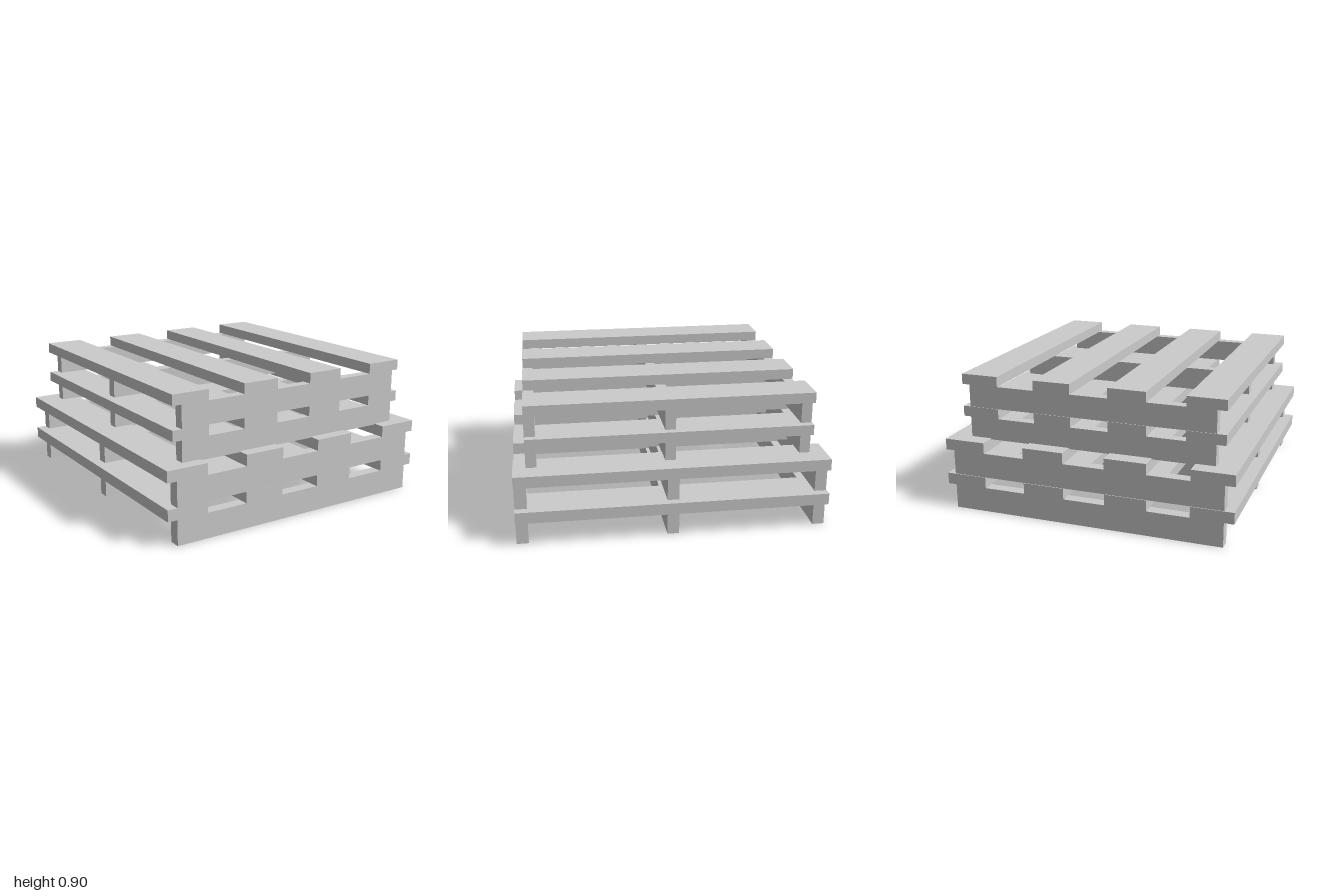
import * as THREE from 'three';

const material = new THREE.MeshStandardMaterial({ color: 0xcccccc, flatShading: true, side: THREE.DoubleSide });

// Board given by its min/max on each axis; a hollow shell, open underneath
function board(name, [x0, x1], [y0, y1], [z0, z1]) {
  const geometry = new THREE.BoxGeometry(x1 - x0, y1 - y0, z1 - z0);
  const index = Array.from(geometry.index.array);
  index.splice(18, 6); // drop the bottom face
  geometry.setIndex(index);
  geometry.clearGroups();
  const mesh = new THREE.Mesh(geometry, material);
  mesh.name = name;
  mesh.position.set((x0 + x1) / 2, (y0 + y1) / 2, (z0 + z1) / 2);
  return mesh;
}

// Pallet: three beams running across, four planks lying on them front to back
function pallet(name, s, [bottom, beamTop, top]) {
  const group = new THREE.Group();
  group.name = name;
  for (const z of s.beamZ) {
    group.add(board('beam', s.beamX, [bottom, beamTop], [z, z + s.beamDepth]));
  }
  for (let i = 0; i < 4; i++) {
    const x = s.plankX + i * s.plankStep;
    group.add(board('plank', [x, x + s.plankWidth], [beamTop, top], s.plankZ));
  }
  return group;
}

const large = {
  beamX: [-0.903, 0.912], beamZ: [-0.995, -0.034, 0.923], beamDepth: 0.076,
  plankX: -0.968, plankStep: 0.553, plankWidth: 0.275, plankZ: [-1, 1],
};
const small = {
  beamX: [-0.82, 0.829], beamZ: [-0.896, -0.022, 0.851], beamDepth: 0.068,
  plankX: -0.882, plankStep: 0.503, plankWidth: 0.25, plankZ: [-0.9, 0.918],
};

export function createModel() {
  const model = new THREE.Group();
  model.name = 'palletStack';
  model.add(
    pallet('largePalletLower', large, [0, 0.164, 0.239]),
    pallet('largePalletUpper', large, [0.239, 0.403, 0.477]),
    pallet('smallPalletLower', small, [0.47, 0.614, 0.682]),
    pallet('smallPalletUpper', small, [0.682, 0.83, 0.898]),
  );
  return model;
}
